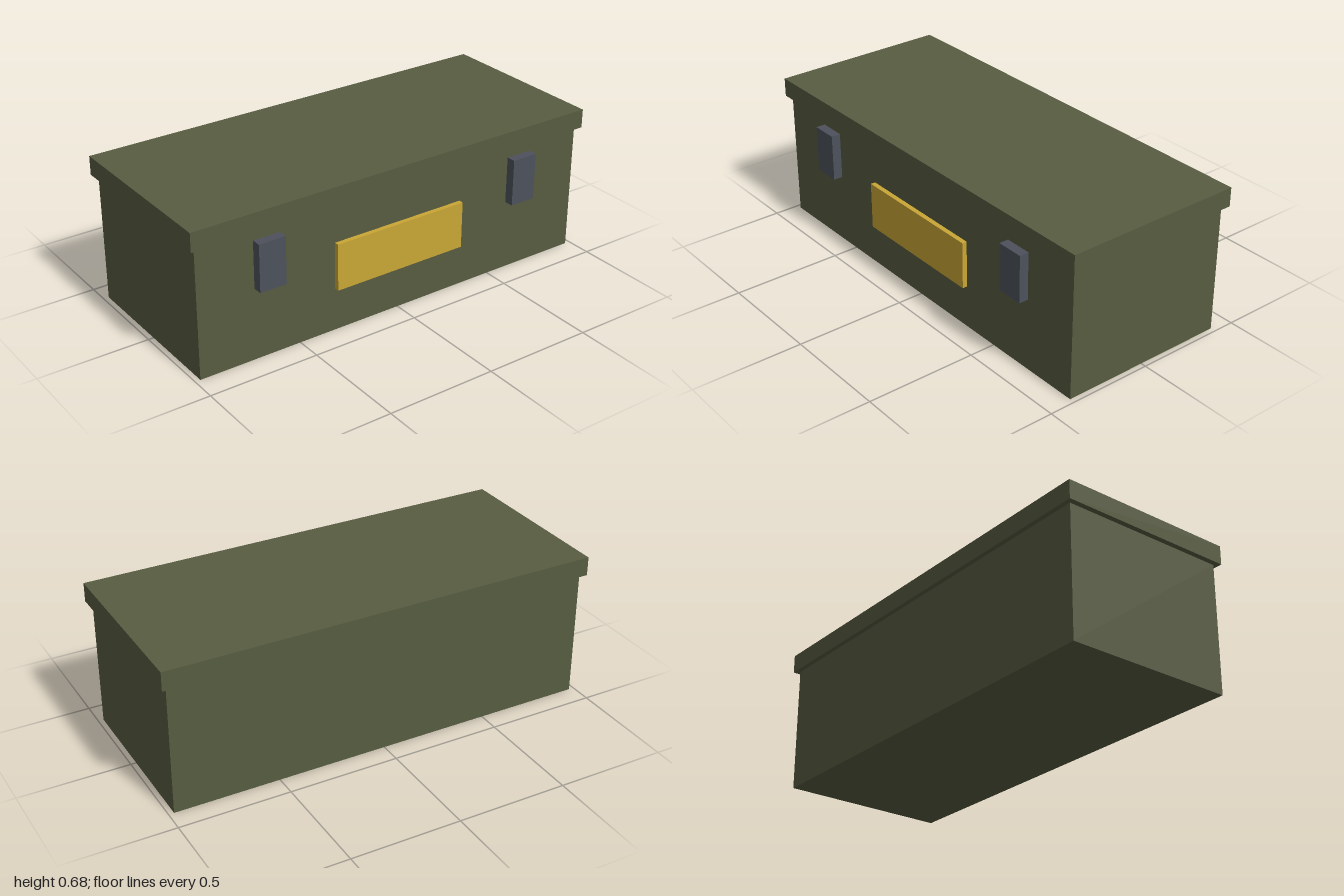
import * as THREE from 'three';

const olive = new THREE.MeshStandardMaterial({ name: 'olive paint', color: 0x575c41 });
const steel = new THREE.MeshStandardMaterial({ name: 'dark steel', color: 0x4d515b });
const yellow = new THREE.MeshStandardMaterial({ name: 'yellow label', color: 0xc9a635 });

// Box given by its lower and upper limits on each axis
function block(name, material, [x0, x1], [y0, y1], [z0, z1]) {
  const mesh = new THREE.Mesh(new THREE.BoxGeometry(x1 - x0, y1 - y0, z1 - z0), material);
  mesh.position.set((x0 + x1) / 2, (y0 + y1) / 2, (z0 + z1) / 2);
  mesh.name = name;
  return mesh;
}

export function createModel() {
  const crate = new THREE.Group();
  crate.name = 'storageCrate';

  // Body and overhanging lid
  crate.add(block('body', olive, [-0.976, 0.976], [0, 0.589], [-0.402, 0.382]));
  crate.add(block('lid', olive, [-1, 1], [0.589, 0.675], [-0.424, 0.404]));

  // Front plate
  crate.add(block('labelPlate', yellow, [-0.325, 0.325], [0.197, 0.412], [0.38, 0.404]));

  // Pair of latches
  for (const [side, x] of [['left', 0.651], ['right', -0.651]]) {
    crate.add(block(side + 'Latch', steel, [x - 0.062, x + 0.062], [0.328, 0.544], [0.38, 0.425]));
  }
  return crate;
}
